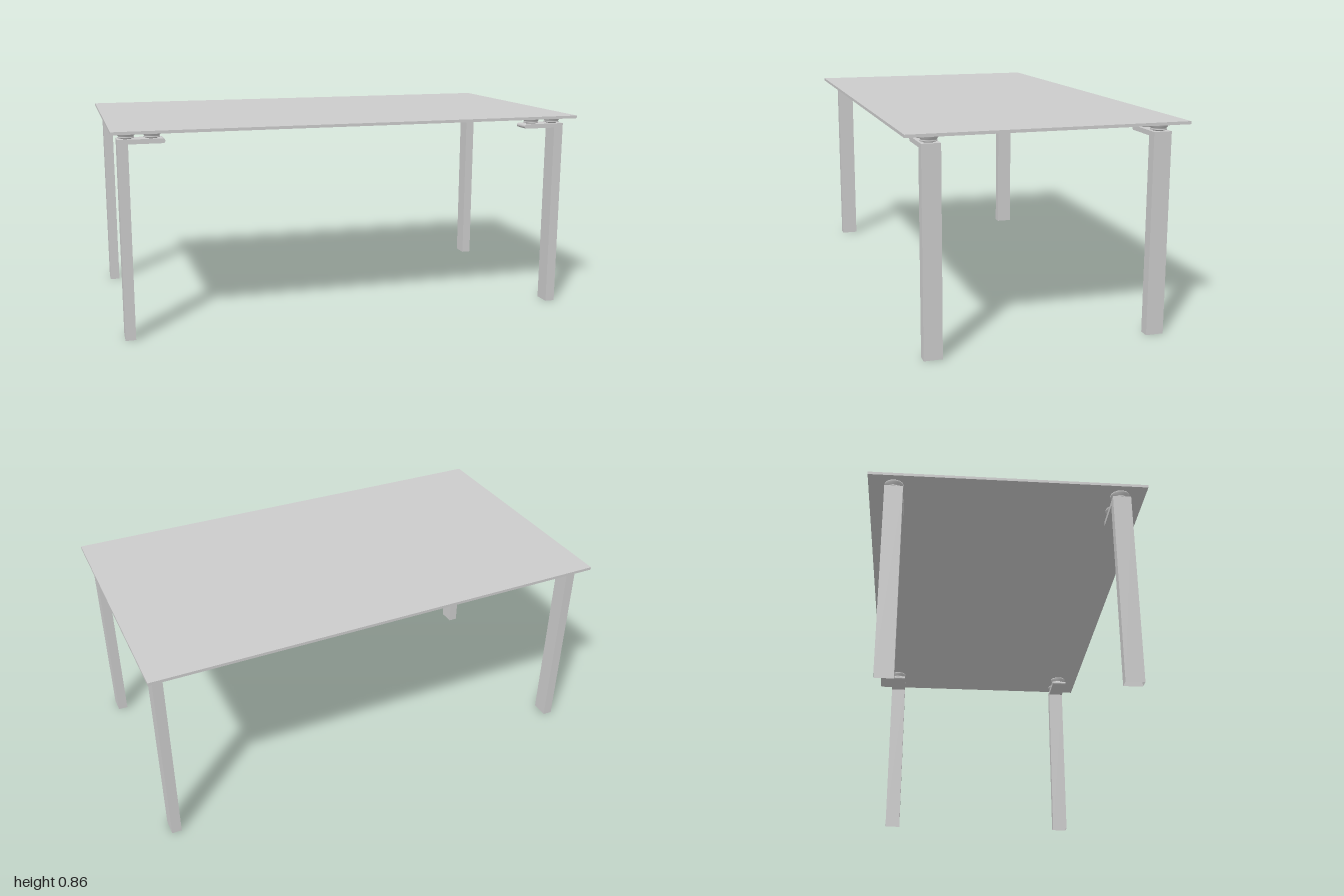
import * as THREE from 'three';

const material = new THREE.MeshStandardMaterial({ color: 0xcccccc });
const shellMaterial = new THREE.MeshStandardMaterial({ color: 0xcccccc, side: THREE.DoubleSide });

const LEG_TOP = 0.822, LEG_X = 0.951, LEG_Z = 0.457;
const LEG_W = 0.042, LEG_D = 0.074;
const TOP_BOTTOM = 0.85, TOP_HEIGHT = 0.012;

function addMesh(parent, name, geometry, x, y, z, mat = material) {
  const mesh = new THREE.Mesh(geometry, mat);
  mesh.name = name;
  mesh.position.set(x, y, z);
  parent.add(mesh);
  return mesh;
}

// Box tube without its lower face
function openLegGeometry() {
  const geometry = new THREE.BoxGeometry(LEG_W, LEG_TOP, LEG_D);
  const index = Array.from(geometry.index.array);
  index.splice(18, 6);
  geometry.setIndex(index);
  geometry.clearGroups();
  return geometry;
}

// Flat bracket with a rounded free end, reaching inward from the leg
function armGeometry() {
  const t = 0.019, length = 0.145, r = t / 2;
  const shape = new THREE.Shape();
  shape.moveTo(0, 0);
  shape.lineTo(0, -t);
  shape.lineTo(length - r, -t);
  shape.absarc(length - r, -r, r, -Math.PI / 2, Math.PI / 2, false);
  shape.lineTo(0, 0);
  const geometry = new THREE.ExtrudeGeometry(shape, { depth: LEG_D, bevelEnabled: false, curveSegments: 10 });
  return geometry.translate(0, 0, -LEG_D / 2);
}

// Stepped cup that carries the top
function padGeometry() {
  const profile = [
    [0, 0], [0.022, 0], [0.022, 0.004], [0.032, 0.004], [0.032, 0.008],
    [0.028, 0.008], [0.032, 0.012], [0.037, 0.021], [0.039, 0.025], [0.039, 0.028], [0, 0.028],
  ].map(([r, y]) => new THREE.Vector2(r, y));
  return new THREE.LatheGeometry(profile, 32);
}

export function createModel() {
  const table = new THREE.Group();
  table.name = 'table';

  addMesh(table, 'tableTop', new THREE.BoxGeometry(2, TOP_HEIGHT, 1.12), 0, TOP_BOTTOM + TOP_HEIGHT / 2, 0);

  const leg = openLegGeometry(), arm = armGeometry(), pad = padGeometry();

  // Four corners; the left side is the right one turned half round
  for (const side of [-1, 1]) {
    for (const end of [-1, 1]) {
      const corner = new THREE.Group();
      corner.name = (end > 0 ? 'front' : 'back') + (side > 0 ? 'Left' : 'Right') + 'Leg';
      corner.position.set(side * LEG_X, 0, end * LEG_Z);
      corner.rotation.y = side > 0 ? Math.PI : 0;
      addMesh(corner, 'post', leg, 0, LEG_TOP / 2, 0, shellMaterial);
      addMesh(corner, 'arm', arm, LEG_W / 2, LEG_TOP, 0);
      addMesh(corner, 'outerPad', pad, 0.017, LEG_TOP, 0);
      addMesh(corner, 'innerPad', pad, 0.118, LEG_TOP, 0);
      table.add(corner);
    }
  }
  return table;
}
